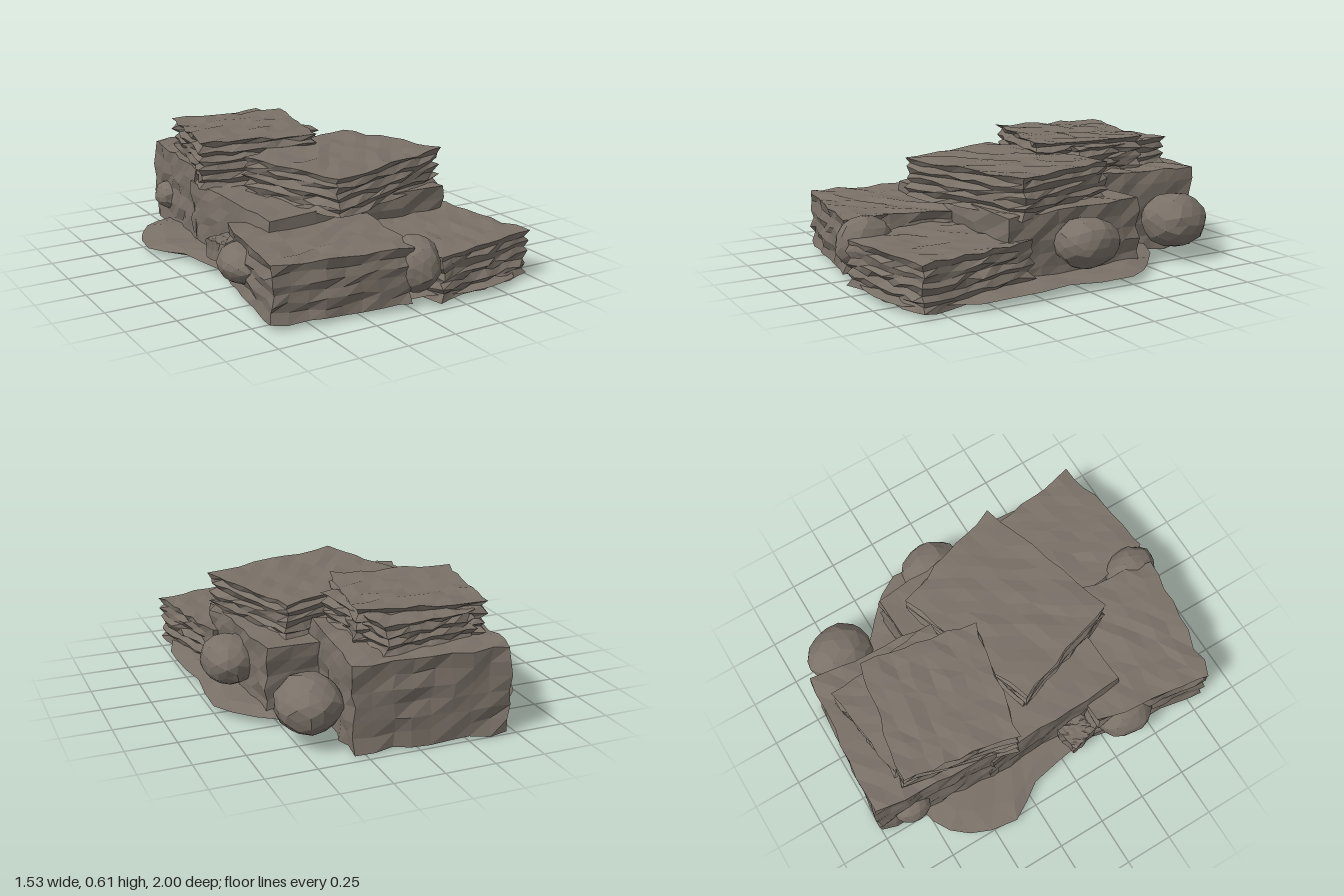
import * as THREE from 'three';

const stone = new THREE.MeshStandardMaterial({ color: 0x7a7168, flatShading: true });
stone.name = 'weathered stone';

// Repeatable noise in -1..1, equal for equal positions so seams stay closed
function noise(x, y, z, seed) {
  const q = v => Math.round(v * 1000);
  const s = Math.sin(q(x) * 0.1271 + q(y) * 0.3117 + q(z) * 0.0747 + seed * 17.31) * 43758.5453;
  return (s - Math.floor(s)) * 2 - 1;
}

function roughen(geometry, amount, seed, rule) {
  const p = geometry.attributes.position;
  for (let i = 0; i < p.count; i++) {
    const x = p.getX(i), y = p.getY(i), z = p.getZ(i);
    const v = new THREE.Vector3(x, y, z);
    if (rule) rule(v);
    v.x += amount * noise(x, y, z, seed);
    v.y += amount * 0.75 * noise(x, y, z, seed + 1);
    v.z += amount * noise(x, y, z, seed + 2);
    p.setXYZ(i, v.x, v.y, v.z);
  }
  geometry.computeVertexNormals();
  return geometry;
}

// Slab whose side rows step in and out like layered rock
function slab(name, [x, z], [w, d], [y0, y1], turn, rows, inset, seed, rough = 0.012) {
  const h = y1 - y0;
  const geometry = new THREE.BoxGeometry(w, h, d, 8, rows, 8);
  roughen(geometry, rough, seed, v => {
    const row = Math.round((v.y / h + 0.5) * rows);
    const step = row % 2 ? inset : 0;
    v.x -= step * v.x / (w / 2);
    v.z -= step * v.z / (d / 2);
  });
  const mesh = new THREE.Mesh(geometry, stone);
  mesh.name = name;
  mesh.position.set(x, (y0 + y1) / 2, z);
  mesh.rotation.y = turn;
  return mesh;
}

function boulder(position, radii, seed) {
  const geometry = roughen(new THREE.IcosahedronGeometry(1, 2), 0.05, seed);
  const mesh = new THREE.Mesh(geometry, stone);
  mesh.name = 'boulder';
  mesh.position.set(...position);
  mesh.scale.set(...radii);
  return mesh;
}

// Thin irregular sheet of rock under the pile: a lathe bent to an outline
function baseSheet() {
  const outline = new THREE.CatmullRomCurve3([
    [0.1, 0.92], [0.43, 0.97], [0.6, 0.9], [0.71, 0.7], [0.76, 0.42], [0.72, 0.1], [0.75, -0.25],
    [0.6, -0.45], [0.45, -0.58], [0.1, -0.76], [-0.25, -0.8], [-0.55, -0.75], [-0.71, -0.63],
    [-0.76, -0.38], [-0.65, -0.18], [-0.61, 0.1], [-0.6, 0.4], [-0.5, 0.7], [-0.25, 0.86],
  ].map(([x, z]) => new THREE.Vector3(x, 0, z)), true, 'catmullrom', 0.3);
  const profile = [[0, 0.015], [0.3, 0.015], [0.6, 0.018], [0.85, 0.018], [1, 0.042], [0.88, 0.06], [0, 0.07]]
    .map(p => new THREE.Vector2(...p));
  const sides = 38;
  const geometry = new THREE.LatheGeometry(profile, sides);
  const p = geometry.attributes.position;
  for (let i = 0; i < p.count; i++) {
    const { x: r, y } = profile[i % profile.length];
    const edge = outline.getPoint(Math.floor(i / profile.length) % sides / sides);
    p.setXYZ(i, edge.x * r, y, edge.z * r);
  }
  const mesh = new THREE.Mesh(roughen(geometry, 0.011, 40), stone);
  mesh.name = 'baseSheet';
  return mesh;
}

export function createModel() {
  const group = new THREE.Group();
  group.name = 'rockPile';
  group.add(
    baseSheet(),
    // Large lower blocks
    slab('backBlock', [-0.1, -0.64], [0.77, 0.66], [0.012, 0.44], -0.08, 6, 0.004, 1),
    slab('middleBlock', [0.03, -0.01], [1.06, 0.78], [0.03, 0.365], 0.05, 5, 0.004, 2),
    slab('frontRightBlock', [-0.3, 0.565], [0.7, 0.64], [0.03, 0.31], -0.14, 6, 0.014, 3),
    slab('frontLeftBlock', [0.37, 0.595], [0.61, 0.65], [0.02, 0.25], 0.18, 8, 0.018, 4),
    // Layered slabs stacked on top
    slab('centreSlab', [0.12, 0.095], [0.8, 0.64], [0.35, 0.545], 0.32, 8, 0.018, 5),
    slab('upperSlab', [-0.08, -0.56], [0.5, 0.6], [0.43, 0.575], 0.13, 6, 0.02, 6),
    slab('topSlab', [-0.165, -0.46], [0.63, 0.6], [0.36, 0.6], -0.19, 10, 0.02, 7),
    // Small broken piece on the right flank
    slab('chip', [-0.56, 0.11], [0.13, 0.15], [0.1, 0.2], 0.2, 2, 0, 8, 0.006),
  );
  // Rounded boulders around the edge
  [
    [[0.44, 0.2, -0.73], [0.16, 0.14, 0.175]],
    [[0.615, 0.205, -0.07], [0.14, 0.125, 0.165]],
    [[0.055, 0.195, 0.845], [0.115, 0.135, 0.145]],
    [[-0.45, 0.17, -0.81], [0.085, 0.08, 0.1]],
    [[-0.6, 0.17, 0.38], [0.12, 0.1, 0.15]],
  ].forEach(([position, radii], i) => group.add(boulder(position, radii, 20 + i * 3)));
  return group;
}
